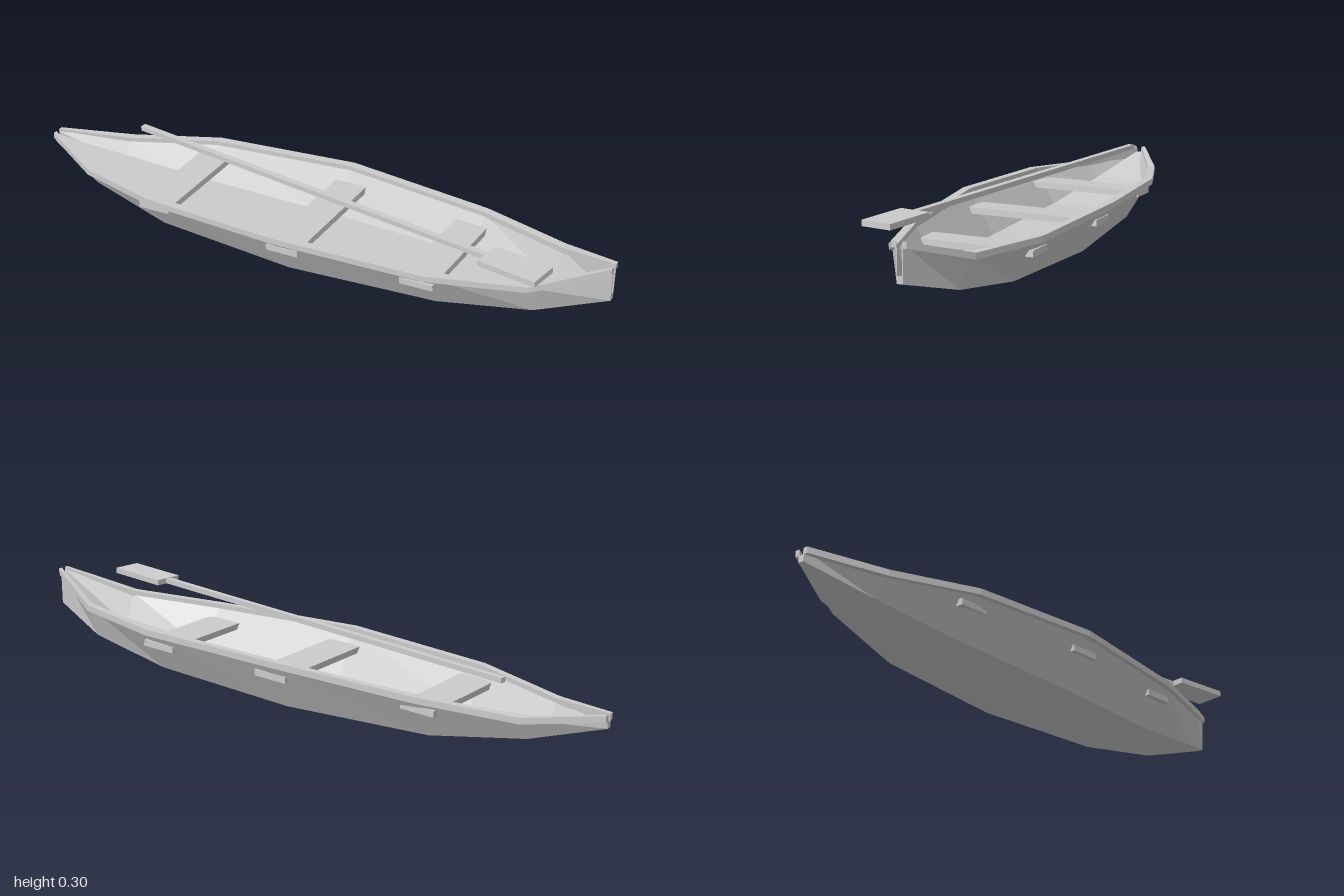
import * as THREE from 'three';

// Hull stations: [along, rail half width, rail top, bottom half width, bottom height]
const STATIONS = [
  [-1.01, 0.022, 0.120, 0.009, 0.078],
  [-0.79, 0.130, 0.105, 0.080, 0.028],
  [-0.49, 0.218, 0.140, 0.130, 0.000],
  [0.00, 0.253, 0.182, 0.152, 0.014],
  [0.50, 0.212, 0.200, 0.122, 0.054],
  [0.80, 0.132, 0.222, 0.083, 0.110],
  [1.01, 0.022, 0.297, 0.009, 0.177],
];

// Lofts a four-cornered section, given as [z, y] pairs, along all stations
function loft(section, mirror = false) {
  const pos = [];
  const rings = STATIONS.map((s) => {
    const ring = section(...s).map(([z, y]) => [s[0], y, mirror ? -z : z]);
    return mirror ? ring.reverse() : ring;
  });
  const quad = (a, b, c, d) => pos.push(...a, ...b, ...c, ...a, ...c, ...d);
  for (let i = 0; i < rings.length - 1; i++) {
    for (let j = 0; j < 4; j++) {
      const k = (j + 1) % 4;
      quad(rings[i][j], rings[i][k], rings[i + 1][k], rings[i + 1][j]);
    }
  }
  quad(...rings[rings.length - 1]);
  quad(...[...rings[0]].reverse());
  const geo = new THREE.BufferGeometry();
  geo.setAttribute('position', new THREE.Float32BufferAttribute(pos, 3));
  geo.computeVertexNormals();
  return geo;
}

// Sections run inner top, outer top, outer bottom, inner bottom
const floorSection = (u, w, top, b, y) => [[-b, y + 0.022], [b, y + 0.022], [b, y], [-b, y]];
const wallSection = (u, w, top, b, y) => {
  const outer = w - 0.01;
  return [
    [Math.max(outer - 0.012, 0.007), top - 0.008], [outer, top - 0.008],
    [b, y], [Math.max(b - 0.012, 0.007), y],
  ];
};
const railSection = (u, w, top) => {
  const inner = w - Math.min(0.026, w - 0.008);
  return [[inner, top], [w, top], [w, top - 0.02], [inner, top - 0.02]];
};

export function createModel() {
  const model = new THREE.Group();
  model.name = 'canoe';
  const grey = new THREE.MeshStandardMaterial({ color: 0xcccccc, flatShading: true });
  grey.name = 'light grey';

  const add = (parent, name, geo) => {
    const mesh = new THREE.Mesh(geo, grey);
    mesh.name = name;
    parent.add(mesh);
    return mesh;
  };

  // Boat body, turned slightly about the vertical
  const boat = new THREE.Group();
  boat.name = 'boat';
  boat.position.z = -0.02;
  boat.rotation.y = -0.178;
  model.add(boat);

  add(boat, 'hullFloor', loft(floorSection));
  for (const [side, mirror] of [['left', false], ['right', true]]) {
    add(boat, side + 'Wall', loft(wallSection, mirror));
    add(boat, side + 'Rail', loft(railSection, mirror));
  }

  // Bench seats whose ends pass through the walls
  const seats = [[-0.484, 0.093, 0.19], [0.015, 0.124, 0.222], [0.465, 0.144, 0.19]];
  seats.forEach(([u, y, half], i) => {
    const seat = add(boat, 'seat' + (i + 1), new THREE.BoxGeometry(0.113, 0.02, half * 2));
    seat.position.set(u, y, 0);
    seat.rotation.z = 0.088;
  });

  // Paddle lying across the boat
  const paddle = new THREE.Group();
  paddle.name = 'paddle';
  paddle.position.set(-0.68, 0.19, -0.215);
  paddle.rotation.set(0, -0.316, 0.061, 'YZX');
  model.add(paddle);
  add(paddle, 'paddleShaft', new THREE.BoxGeometry(1.38, 0.016, 0.02).translate(0.69, 0, 0));
  add(paddle, 'paddleBlade', new THREE.BoxGeometry(0.2, 0.018, 0.095).translate(1.475, 0, 0));

  return model;
}
